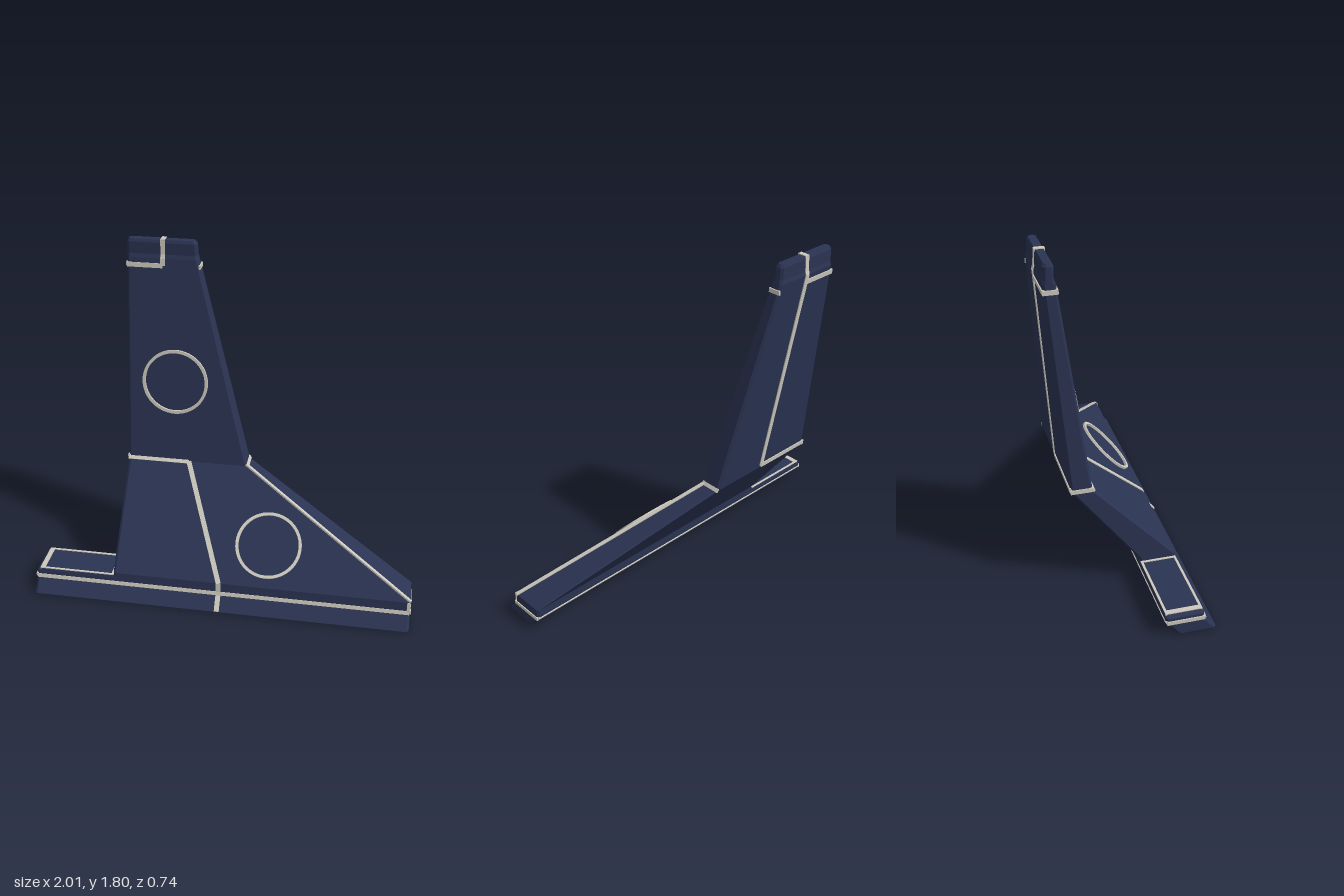
import * as THREE from 'three';

const navy = new THREE.MeshStandardMaterial({ color: 0x2a3352, flatShading: true });
const pale = new THREE.MeshStandardMaterial({ color: 0xccc8bd, flatShading: true });
const V = (x, y, z) => new THREE.Vector3(x, y, z);

// Side profile of the panel: [y, front z, back z]
const profile = [
  [0.005, 0.365, 0.17], [0.07, 0.308, 0.12], [0.09, 0.302, 0.107], [0.14, 0.296, 0.105],
  [0.61, -0.14, -0.25], [1.7, -0.303, -0.366], [1.72, -0.311, -0.361], [1.78, -0.311, -0.361], [1.795, -0.318, -0.355],
];

// Depth and outward normal of the front (side 1) or back (side 2) surface at height y
function surface(y, side) {
  let i = 0;
  while (i < profile.length - 2 && y > profile[i + 1][0]) i++;
  const a = profile[i], b = profile[i + 1];
  const slope = (b[side] - a[side]) / (b[0] - a[0]);
  const sign = side === 1 ? 1 : -1;
  return { z: a[side] + slope * (y - a[0]), n: V(0, -slope * sign, sign).normalize() };
}

// Solid through horizontal sections [y, left x, right x, front z, back z] with chamfered corners
function loft(name, sections, c = 0.012) {
  const pos = [], index = [], last = sections.length - 1;
  for (const [y, xl, xr, zf, zb] of sections) {
    const loop = [[xr - c, zf], [xr, zf - c], [xr, zb + c], [xr - c, zb], [xl + c, zb], [xl, zb + c], [xl, zf - c], [xl + c, zf]];
    for (const [x, z] of loop) pos.push(x, y, z);
  }
  for (let s = 0; s < last; s++) for (let i = 0; i < 8; i++) {
    const a = s * 8 + i, b = s * 8 + (i + 1) % 8;
    index.push(a, b, b + 8, a, b + 8, a + 8);
  }
  for (let i = 1; i < 7; i++) {
    index.push(0, i + 1, i, last * 8, last * 8 + i, last * 8 + i + 1);
  }
  const g = new THREE.BufferGeometry();
  g.setAttribute('position', new THREE.Float32BufferAttribute(pos, 3));
  g.setIndex(index);
  const flat = g.toNonIndexed();
  flat.computeVertexNormals();
  const mesh = new THREE.Mesh(flat, navy);
  mesh.name = name;
  return mesh;
}

// Flat trim bar from a to b, lying on a surface with normal n
function bar(name, a, b, n, w = 0.022) {
  const dir = b.clone().sub(a), len = dir.length();
  dir.normalize();
  const up = n.clone().addScaledVector(dir, -n.dot(dir)).normalize();
  const mesh = new THREE.Mesh(new THREE.BoxGeometry(len, w, 0.01), pale);
  mesh.quaternion.setFromRotationMatrix(new THREE.Matrix4().makeBasis(dir, up.clone().cross(dir), up));
  mesh.position.copy(a).add(b).multiplyScalar(0.5);
  mesh.name = name;
  return mesh;
}

// Trim following [x, y] points over the front or back surface
function faceTrim(name, side, points, w) {
  const group = new THREE.Group();
  group.name = name;
  for (let i = 1; i < points.length; i++) {
    const [p, q] = [points[i - 1], points[i]];
    const n = surface((p[1] + q[1]) / 2, side).n;
    group.add(bar(name + 'Bar', V(p[0], p[1], surface(p[1], side).z), V(q[0], q[1], surface(q[1], side).z), n, w));
  }
  return group;
}

// Raised circular rim on the front surface
function ring(name, x, y) {
  const shape = new THREE.Shape().absarc(0, 0, 0.176, 0, Math.PI * 2);
  shape.holes.push(new THREE.Path().absarc(0, 0, 0.16, 0, Math.PI * 2, true));
  const g = new THREE.ExtrudeGeometry(shape, { depth: 0.016, bevelEnabled: false, curveSegments: 24 });
  const mesh = new THREE.Mesh(g, pale);
  const s = surface(y, 1);
  mesh.quaternion.setFromUnitVectors(V(0, 0, 1), s.n);
  mesh.position.set(x, y, s.z).addScaledVector(s.n, -0.003);
  mesh.name = name;
  return mesh;
}

export function createModel() {
  const model = new THREE.Group();
  model.name = 'finPanel';
  const L = -0.575;

  // Long foot with its low shelf on the right
  const foot = profile.slice(0, 3).map(([y, f, b]) => [y, -1, 1, f, b]);
  foot.push([0.108, -1, 1, 0.3, 0.106], [0.122, -0.982, 0.99, 0.296, 0.108]);
  model.add(loft('foot', foot));

  // Bent, tapering fin
  const rightEdge = [1, 1, 1, 1, 0.08, -0.205, -0.21, -0.213, -0.222];
  const fin = profile.map(([y, f, b], i) => [y, i === 8 ? L + 0.008 : L, rightEdge[i], f, b]).slice(2);
  model.add(loft('fin', fin));

  // Front trim
  model.add(
    faceTrim('frontFootStripe', 1, [[-0.995, 0.082], [0.995, 0.082]], 0.02),
    faceTrim('frontKneeTrim', 1, [[L, 0.61], [-0.24, 0.61], [-0.004, 0.14], [-0.004, 0.09], [-0.004, 0.07], [-0.004, 0.006]], 0.026),
    faceTrim('frontTipTrim', 1, [[L, 1.664], [-0.388, 1.664], [-0.388, 1.7], [-0.388, 1.72], [-0.388, 1.792]], 0.024),
    faceTrim('frontCornerTrim', 1, [[0.99, 0.085], [0.99, 0.14]], 0.016),
  );

  // Back trim
  model.add(
    faceTrim('backFootStripe', 2, [[-0.995, 0.082], [0.995, 0.082]], 0.02),
    faceTrim('backSpineTrim', 2, [[L, 0.622], [-0.24, 0.622], [-0.388, 1.7], [-0.388, 1.72], [-0.388, 1.792]], 0.024),
    faceTrim('backTipTrim', 2, [[L, 1.664], [-0.388, 1.664]], 0.024),
  );

  // Trim wrapping the side edges, the tip and the sloping shoulder
  const slope = V(0.47, 0.92, 0).normalize();
  const left = V(-1, 0, 0), right = V(1, 0, 0), up = V(0, 1, 0), down = V(0, -1, 0);
  model.add(
    bar('shoulderTrim', V(0.08, 0.61, -0.151), V(1, 0.14, 0.284), slope, 0.02),
    bar('kneeEdgeTrim', V(0.08, 0.61, -0.14), V(0.08, 0.61, -0.25), V(0.8, 0.6, 0).normalize()),
    bar('kneeEdgeTrim', V(L, 0.612, -0.14), V(L, 0.612, -0.25), left),
    bar('tipEdgeTrim', V(-0.197, 1.664, -0.3), V(-0.197, 1.664, -0.364), right),
    bar('tipEdgeTrim', V(L, 1.664, -0.3), V(L, 1.664, -0.364), left),
    bar('tipTopTrim', V(-0.388, 1.794, -0.312), V(-0.388, 1.794, -0.362), up, 0.024),
    bar('footEndTrim', V(1, 0.082, 0.302), V(1, 0.082, 0.112), right, 0.02),
    bar('footEndTrim', V(-1, 0.082, 0.302), V(-1, 0.082, 0.112), left, 0.02),
  );

  // Frame on top of the shelf
  model.add(
    bar('shelfFrame', V(-0.97, 0.121, 0.294), V(-0.97, 0.121, 0.11), up, 0.026),
    bar('shelfFrame', V(-0.582, 0.121, 0.294), V(-0.582, 0.121, 0.11), up, 0.012),
    bar('shelfFrame', V(-0.98, 0.121, 0.288), V(L, 0.121, 0.288), up, 0.012),
    bar('shelfFrame', V(-0.98, 0.121, 0.114), V(L, 0.121, 0.114), up, 0.012),
  );

  // Trim under the foot
  model.add(
    bar('undersideStripe', V(-0.95, 0.005, 0.19), V(0.97, 0.005, 0.19), down, 0.02),
    bar('undersideCross', V(-0.004, 0.005, 0.19), V(-0.004, 0.005, 0.355), down, 0.026),
  );

  // Circular rims
  model.add(ring('upperRing', -0.318, 1.055), ring('lowerRing', 0.24, 0.305));
  return model;
}
